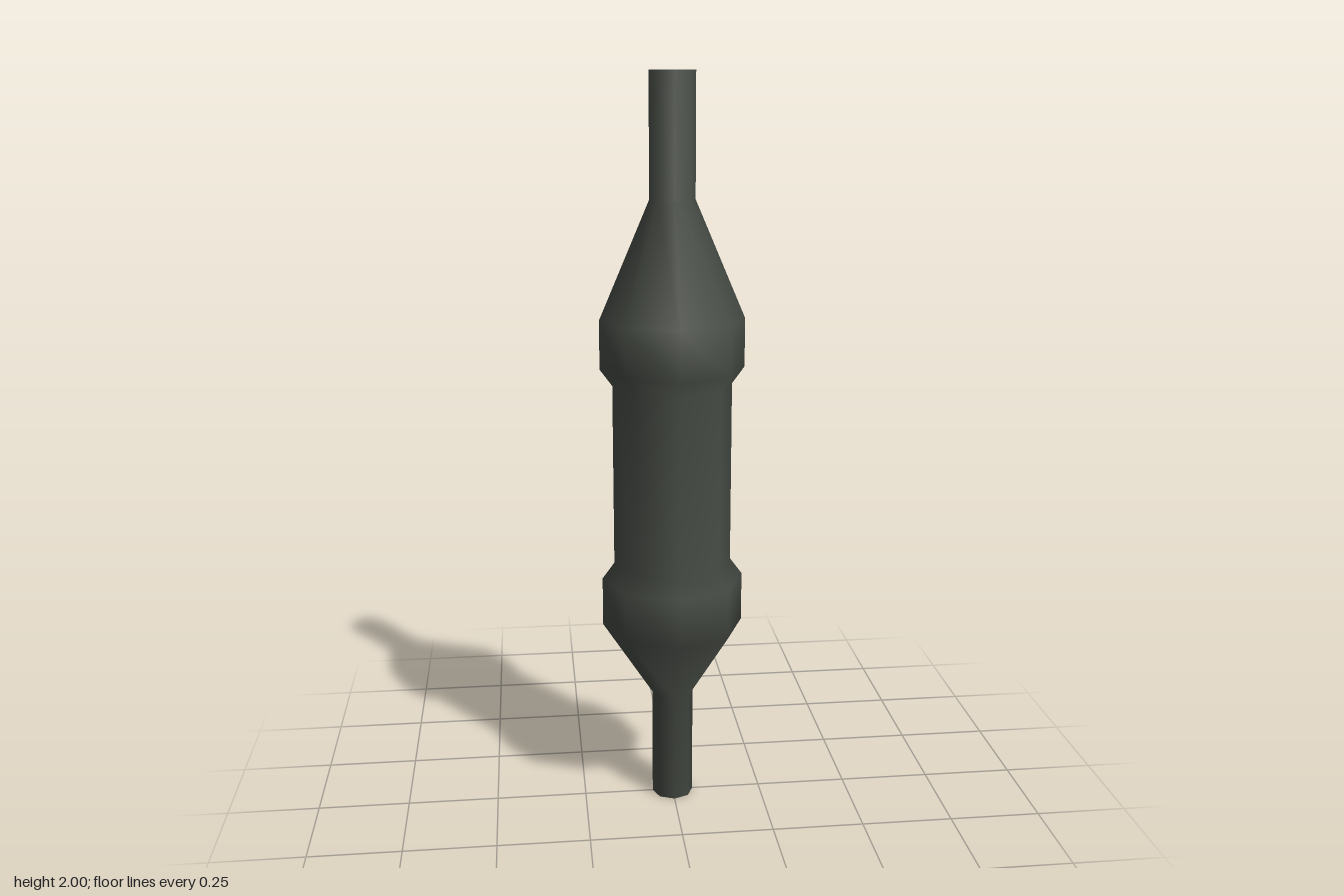
import * as THREE from 'three';

export function createModel() {
  const model = new THREE.Group();
  model.name = 'capsule';

  const darkGreyGreen = new THREE.MeshStandardMaterial({ color: 0x474c45 });
  darkGreyGreen.name = 'dark grey green';

  // Profile as [radius, height], from the lower stem to the upper stem
  const profile = [
    [0, 0], [0.057, 0],            // bottom cap
    [0.057, 0.31],                 // lower stem
    [0.193, 0.52], [0.193, 0.655], // lower cone and collar
    [0.16, 0.70], [0.16, 1.195],   // waist
    [0.193, 1.24], [0.193, 1.37],  // upper collar
    [0.06, 1.68], [0.06, 2],       // upper cone and stem
    [0, 2],                        // top cap
  ].map(([r, y]) => new THREE.Vector2(r, y));

  // Eight-sided turned body with smooth normals
  const body = new THREE.Mesh(new THREE.LatheGeometry(profile, 8), darkGreyGreen);
  body.name = 'body';
  model.add(body);

  return model;
}
